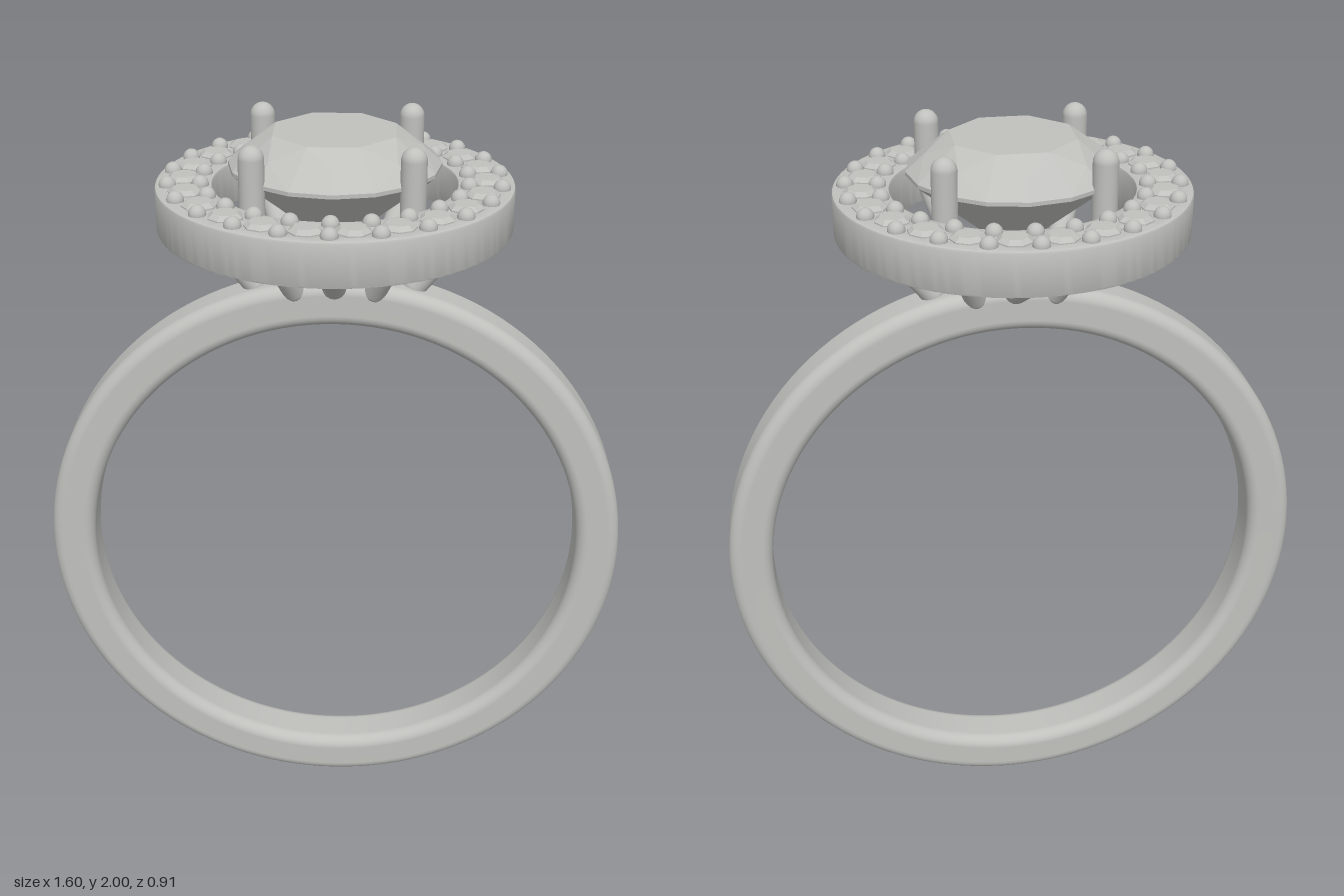
import * as THREE from 'three';
import { toCreasedNormals } from 'three/addons/utils/BufferGeometryUtils.js';
import { ConvexGeometry } from 'three/addons/geometries/ConvexGeometry.js';

const TAU = Math.PI * 2;
const metal = new THREE.MeshStandardMaterial({ color: 0xc0c0bd });
metal.name = 'silver grey';

const vec = (x, y, z) => new THREE.Vector3(x, y, z);

function part(name, geometry, parent) {
  const mesh = new THREE.Mesh(geometry, metal);
  mesh.name = name;
  parent.add(mesh);
  return mesh;
}

// Ring of n points; turn is the offset in steps
function circle(n, r, y, turn = 0) {
  return Array.from({ length: n }, (_, i) => {
    const a = ((i + turn) / n) * TAU;
    return vec(r * Math.sin(a), y, r * Math.cos(a));
  });
}

// Faceted stone from rings of points, flat shaded
function stone(points) {
  const g = new ConvexGeometry(points);
  g.computeVertexNormals();
  return g;
}

// Round-ended rod between two points
function rod(name, a, b, r, parent) {
  const dir = b.clone().sub(a);
  const mesh = part(name, new THREE.CapsuleGeometry(r, dir.length(), 8, 20), parent);
  mesh.position.copy(a).add(b).multiplyScalar(0.5);
  mesh.quaternion.setFromUnitVectors(vec(0, 1, 0), dir.normalize());
}

// Finger band: rounded rectangle revolved about z
function bandGeometry() {
  const inner = 0.68, outer = 0.8, w = 0.07, r = 0.032;
  const s = new THREE.Shape();
  s.absarc(outer - r, -w + r, r, -Math.PI / 2, 0);
  s.absarc(outer - r, w - r, r, 0, Math.PI / 2);
  s.absarc(inner + r, w - r, r, Math.PI / 2, Math.PI);
  s.absarc(inner + r, -w + r, r, Math.PI, Math.PI * 1.5);
  s.closePath();
  return new THREE.LatheGeometry(s.getPoints(8), 128).rotateX(Math.PI / 2);
}

// Halo plate with one drilled seat below each small stone
function haloGeometry(seats) {
  const s = new THREE.Shape().absarc(0, 0, 0.455, 0, TAU);
  s.holes.push(new THREE.Path().absarc(0, 0, 0.31, 0, TAU, true));
  for (const p of seats) {
    const pts = circle(16, 0.026, 0).map(q => new THREE.Vector2(p.x + q.x, p.z + q.z));
    s.holes.push(new THREE.Path().setFromPoints([...pts, pts[0]]));
  }
  const bevel = 0.007;
  const g = new THREE.ExtrudeGeometry(s, {
    depth: 0.115 - 2 * bevel, curveSegments: 96, bevelEnabled: true,
    bevelThickness: bevel, bevelSize: bevel, bevelOffset: -bevel, bevelSegments: 2,
  });
  g.rotateX(Math.PI / 2).translate(0, 1.855 - bevel, 0);
  return toCreasedNormals(g, 0.6);
}

export function createModel() {
  const ring = new THREE.Group();
  ring.name = 'haloRing';

  part('band', bandGeometry(), ring).position.y = 0.8;

  // Halo with small stones and the beads that hold them
  const halo = new THREE.Group();
  halo.name = 'halo';
  ring.add(halo);
  const count = 22;
  const seats = circle(count, 0.383, 0, 0.5);
  part('haloPlate', haloGeometry(seats), halo);

  const smallStone = stone([
    ...circle(8, 0.032, 1.868, 0.5), ...circle(8, 0.045, 1.858, 0.5),
    ...circle(8, 0.045, 1.85, 0.5), vec(0, 1.765, 0),
  ]);
  seats.forEach((p, i) => {
    const m = part('haloStone', smallStone, halo);
    m.position.set(p.x, 0, p.z);
    m.rotation.y = ((i + 0.5) / count) * TAU;
  });

  const bead = new THREE.SphereGeometry(0.022, 14, 10);
  for (const r of [0.422, 0.34]) {
    for (const p of circle(count, r, 1.858)) part('bead', bead, halo).position.copy(p);
  }

  // Centre stone: table, crown, girdle, pavilion and culet
  part('centreStone', stone([
    ...circle(8, 0.165, 1.985, 0.5),
    ...circle(8, 0.222, 1.947),
    ...circle(16, 0.27, 1.904),
    ...circle(16, 0.27, 1.894),
    ...circle(8, 0.07, 1.735, 0.5),
    vec(0, 1.68, 0),
  ]), ring);

  // Four bent prongs gripping the centre stone
  for (const sx of [-1, 1]) {
    for (const sz of [-1, 1]) {
      const prong = new THREE.Group();
      prong.name = 'prong';
      ring.add(prong);
      const bend = vec(0.195 * sx, 1.81, 0.195 * sz);
      rod('prongLeg', vec(0.105 * sx, 1.575, 0.05 * sz), bend, 0.03, prong);
      rod('prongTip', bend, vec(0.195 * sx, 1.968, 0.195 * sz), 0.032, prong);
    }
  }

  // Four struts carrying the halo
  for (const s of [-1, 1]) {
    rod('sideStrut', vec(0.21 * s, 1.575, 0), vec(0.365 * s, 1.765, 0), 0.032, ring);
    rod('crossStrut', vec(0, 1.585, 0.05 * s), vec(0, 1.76, 0.385 * s), 0.032, ring);
  }

  return ring;
}
